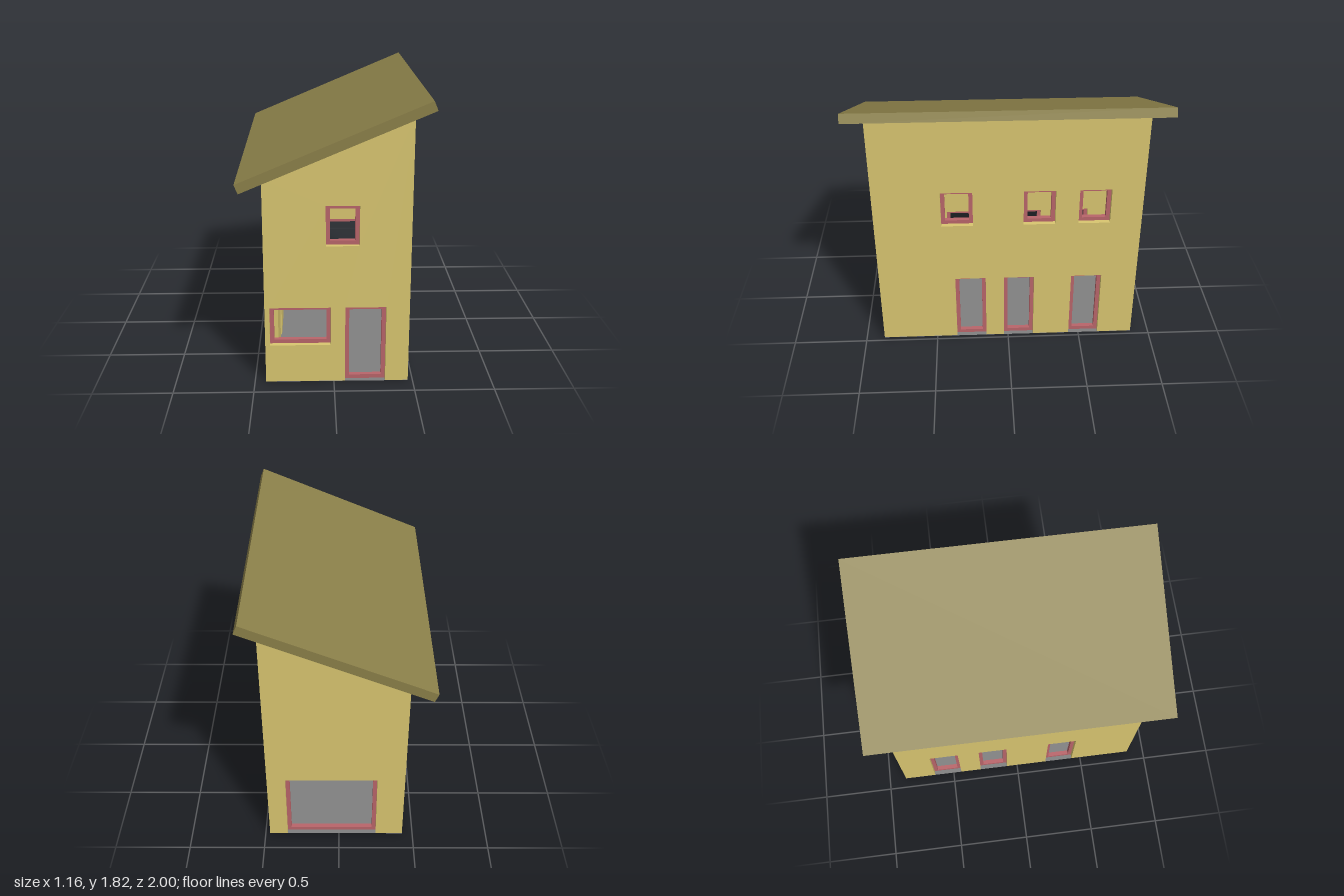
import * as THREE from 'three';

const WALL = 0.08;                       // wall thickness
const X0 = -0.43, X1 = 0.47, Z = 0.875;  // footprint
const LOW = 1.338, HIGH = 1.72;          // eaves heights
const BASE = 0.002;                      // walls rest on the floor sheet

const paint = (color) => new THREE.MeshStandardMaterial({ color });
const wallMat = paint(0xd9c670);
const roofMat = paint(0x8b8049);
const frameMat = paint(0xb9656a);
const floorMat = paint(0x808080);
floorMat.side = THREE.DoubleSide;

function rect(Type, u0, u1, v0, v1) {
  const s = new Type();
  s.moveTo(u0, v0).lineTo(u1, v0).lineTo(u1, v1).lineTo(u0, v1).closePath();
  return s;
}

function extruded(name, shape, depth, back, material) {
  const geo = new THREE.ExtrudeGeometry(shape, { depth, bevelEnabled: false });
  geo.translate(0, 0, back);
  const mesh = new THREE.Mesh(geo, material);
  mesh.name = name;
  return mesh;
}

// Recessed frame filling one opening
function frame(name, [u0, u1, v0, v1]) {
  const b = 0.026;
  const low = Math.max(v0, BASE);
  const shape = rect(THREE.Shape, u0, u1, low, v1);
  shape.holes.push(rect(THREE.Path, u0 + b, u1 - b, low + b, v1 - b));
  return extruded(name, shape, 0.03, -0.06, frameMat);
}

// Wall in its own plane (u across, v up, outside facing +z).
// Doors are notches in the bottom edge, windows are holes.
function wall(name, u0, u1, h0, h1, doors, windows) {
  const group = new THREE.Group();
  group.name = name;
  const shape = new THREE.Shape();
  shape.moveTo(u0, BASE);
  for (const [a, b, , top] of [...doors].sort((p, q) => p[0] - q[0])) {
    shape.lineTo(a, BASE).lineTo(a, top).lineTo(b, top).lineTo(b, BASE);
  }
  shape.lineTo(u1, BASE).lineTo(u1, h1).lineTo(u0, h0).closePath();
  for (const w of windows) shape.holes.push(rect(THREE.Path, ...w));
  group.add(extruded(name + 'Panel', shape, WALL, -WALL, wallMat));
  doors.forEach((d) => group.add(frame('doorFrame', d)));
  windows.forEach((w) => group.add(frame('windowFrame', w)));
  return group;
}

export function createModel() {
  const house = new THREE.Group();
  house.name = 'house';

  // Gable walls with sloping tops
  const front = wall('frontWall', X0, X1, LOW, HIGH,
    [[0.07, 0.325, 0, 0.51]],
    [[-0.40, -0.02, 0.255, 0.51], [-0.05, 0.155, 0.915, 1.17]]);
  front.position.z = Z;

  const back = wall('backWall', -X1, -X0, HIGH, LOW, [[-0.35, 0.25, 0, 0.51]], []);
  back.rotation.y = Math.PI;
  back.position.z = -Z;

  // Long side walls, fitted between the gables
  const e = Z - WALL;
  const openings = (starts, v0, v1) => starts.map((u) => [u, u + 0.207, v0, v1]);
  const tall = wall('highSideWall', -e, e, HIGH, HIGH,
    openings([-0.36, -0.03, 0.43], 0, 0.51),
    openings([-0.437, 0.10, 0.46], 0.945, 1.2));
  tall.rotation.y = Math.PI / 2;
  tall.position.x = X1;

  const short = wall('lowSideWall', -e, e, LOW, LOW,
    openings([-0.647, -0.287, 0.225], 0, 0.51),
    openings([-0.63, -0.18, 0.093], 0.945, 1.2));
  short.rotation.y = -Math.PI / 2;
  short.position.x = X0;

  // Floor sheet
  const floor = new THREE.Mesh(new THREE.PlaneGeometry(X1 - X0, 2 * Z), floorMat);
  floor.name = 'floor';
  floor.rotation.x = -Math.PI / 2;
  floor.position.x = (X0 + X1) / 2;

  // Single-pitch roof slab with overhang
  const roof = new THREE.Mesh(new THREE.BoxGeometry(1.232, 0.06, 2), roofMat);
  roof.name = 'roof';
  roof.rotation.z = 0.4;
  roof.position.y = 1.553;

  house.add(front, back, tall, short, floor, roof);
  return house;
}
